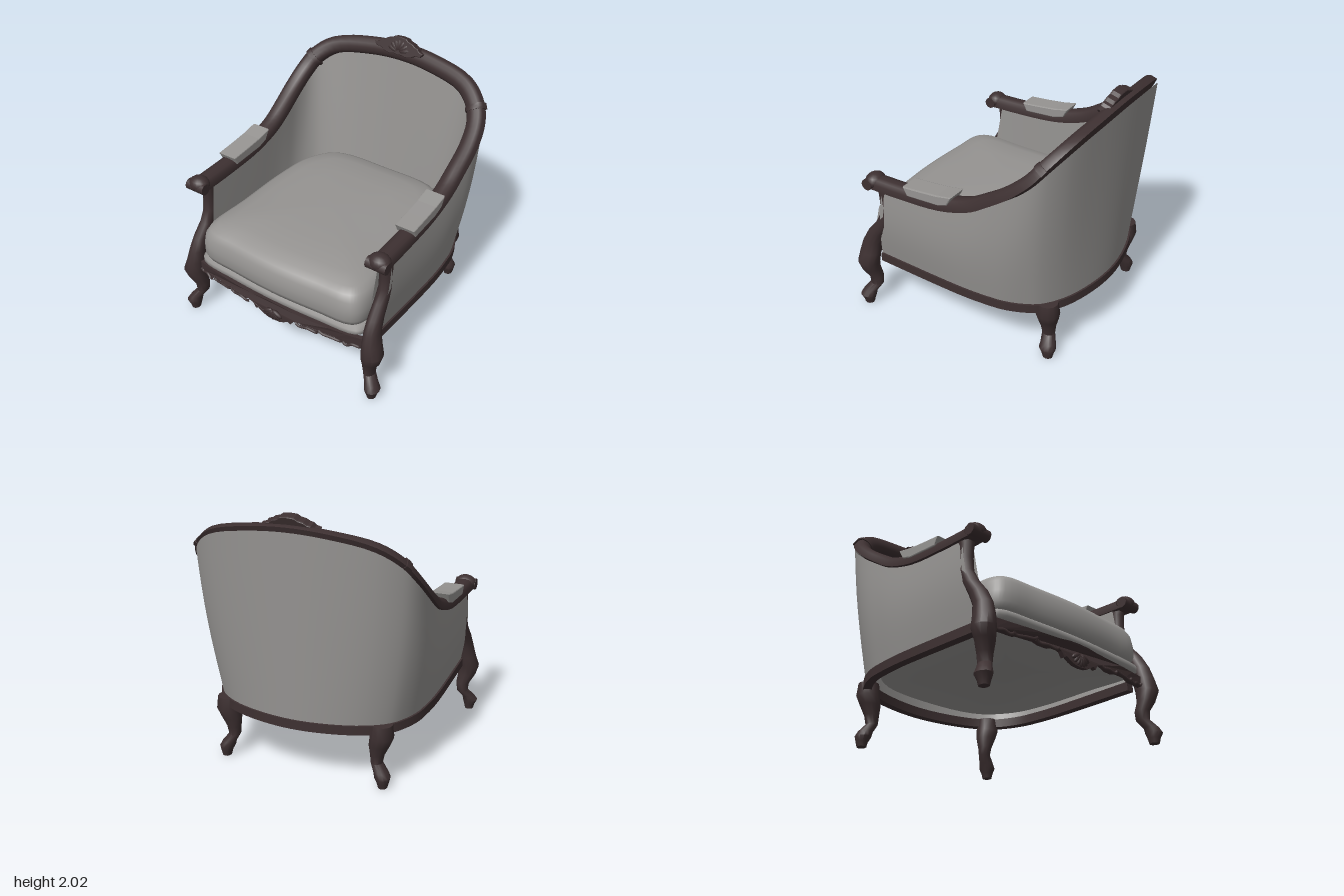
import * as THREE from 'three';
import { toCreasedNormals } from 'three/addons/utils/BufferGeometryUtils.js';

const V = (x, y, z) => new THREE.Vector3(x, y, z);
const N = 80;

// Skin a list of point rows; closed rows become capped solids facing outward
function loft(rows, closed = true, crease = 0.8) {
  const n = rows[0].length, pos = [], idx = [];
  rows.forEach(r => r.forEach(p => pos.push(p.x, p.y, p.z)));
  for (let i = 0; i < rows.length - 1; i++)
    for (let j = 0; j < (closed ? n : n - 1); j++) {
      const k = (j + 1) % n, a = i * n + j, b = i * n + k, c = a + n, d = b + n;
      idx.push(a, b, d, a, d, c);
    }
  if (closed) [0, rows.length - 1].forEach((r, e) => {
    const c = rows[r].reduce((s, p) => s.add(p), V(0, 0, 0)).divideScalar(n), ci = pos.length / 3;
    pos.push(c.x, c.y, c.z);
    for (let j = 0; j < n; j++) {
      const a = r * n + j, b = r * n + (j + 1) % n;
      e ? idx.push(ci, a, b) : idx.push(ci, b, a);
    }
  });
  if (closed) {
    const at = i => V(pos[3 * i], pos[3 * i + 1], pos[3 * i + 2]);
    let vol = 0;
    for (let i = 0; i < idx.length; i += 3) vol += at(idx[i]).dot(at(idx[i + 1]).cross(at(idx[i + 2])));
    if (vol < 0) idx.reverse();
  }
  const g = new THREE.BufferGeometry();
  g.setAttribute('position', new THREE.Float32BufferAttribute(pos, 3));
  g.setIndex(idx);
  if (closed) return toCreasedNormals(g, crease);
  g.computeVertexNormals();
  return g;
}

// Left half of a path, front to back centre, mirrored to the right side
function mirroredCurve(half) {
  const pts = half.map(p => V(...p));
  const other = half.slice(0, -1).reverse().map(p => V(-p[0], p[1], p[2]));
  return new THREE.CatmullRomCurve3([...pts, ...other]);
}

const railCurve = mirroredCurve([[.82, 1.175, .74], [.82, 1.18, .45], [.82, 1.205, .1], [.82, 1.275, -.15],
  [.82, 1.36, -.3], [.82, 1.48, -.48], [.795, 1.6, -.62], [.74, 1.7, -.7], [.6, 1.8, -.78], [.3, 1.86, -.83], [0, 1.88, -.845]]);
const baseCurve = mirroredCurve([[.81, .5, .74], [.82, .5, .45], [.83, .5, .1], [.83, .5, -.1],
  [.82, .5, -.25], [.8, .5, -.4], [.75, .5, -.54], [.68, .5, -.65], [.52, .5, -.76], [.27, .5, -.84], [0, .5, -.87]]);

// Point on the top rail offset by w (outward) and n (toward the sitter / up)
function railPoint(t, w, n) {
  const p = railCurve.getPoint(t), T = railCurve.getTangent(t);
  const up = Math.max(0, p.y - 1.2) / .7;
  const W = V(p.x / .82, up, -.3 * up);
  W.addScaledVector(T, -W.dot(T)).normalize();
  const F = W.clone().cross(T).normalize();
  return p.addScaledVector(W, w).addScaledVector(F, n);
}

const railProfile = [[-.07, -.045], [-.07, .005], [-.05, .035], [-.015, .045], [.02, .045], [.05, .035], [.068, .005], [.068, -.045]];
function railSweep(t0, t1, steps, scale = 1) {
  const rows = [];
  for (let i = 0; i <= steps; i++) {
    const t = t0 + (t1 - t0) * i / steps;
    rows.push(railProfile.map(([w, n]) => railPoint(t, w * scale, n * scale)));
  }
  return loft(rows);
}

// Leg made of horizontal oval rings [x, y, z, rx, rz]
function leg(rings, s) {
  return loft(rings.map(([x, y, z, rx, rz]) => Array.from({ length: 12 }, (_, i) => {
    const a = i * Math.PI / 6;
    return V(s * (x + rx * Math.cos(a)), y, z + rz * Math.sin(a));
  })));
}

// Symmetric outline from its left half, listed from top centre to bottom centre
function symmetricShape(half) {
  const other = half.filter(p => p[0] > 0).reverse().map(([x, y]) => [-x, y]);
  return new THREE.Shape([...half, ...other].map(p => new THREE.Vector2(...p)));
}

export function createModel() {
  const group = new THREE.Group();
  const wood = new THREE.MeshStandardMaterial({ color: 0x3d3031 });
  wood.name = 'dark wood';
  const fabric = new THREE.MeshStandardMaterial({ color: 0x969492, side: THREE.DoubleSide });
  fabric.name = 'grey fabric';
  const add = (name, geo, mat, x = 0, y = 0, z = 0) => {
    const m = new THREE.Mesh(geo, mat);
    m.name = name;
    m.position.set(x, y, z);
    group.add(m);
    return m;
  };

  // Continuous arm and back rail, with two collars
  add('topRail', railSweep(0, 1, N), wood);
  for (const t of [.342, .658]) add('railCollar', railSweep(t - .007, t + .007, 2, 1.15), wood);

  // Upholstered tub: outer and inner walls from base to rail
  const wall = inner => {
    const rows = [];
    for (let i = 0; i <= N; i++) {
      const t = i / N, b = baseCurve.getPoint(t);
      const top = inner ? railPoint(t, -.058, -.035) : railPoint(t, .045, t > .02 && t < .98 ? -.045 - .025 * Math.sin(t * Math.PI) ** 4 : -.03);
      top.z = Math.min(top.z, .64);
      if (inner) { b.x *= .915; b.y = .55; b.z += Math.max(0, -b.z) * .19; }
      rows.push(Array.from({ length: 9 }, (_, j) => {
        const p = b.clone().lerp(top, j / 8), bulge = Math.sin(j / 8 * Math.PI);
        p.x *= 1 + (inner ? 0 : .03) * bulge;
        return p;
      }));
    }
    return loft(rows, false);
  };
  add('outerUpholstery', wall(false), fabric);
  add('innerUpholstery', wall(true), fabric);

  // Curved base rail
  const baseRows = [];
  for (let i = 0; i <= N; i++) {
    const p = baseCurve.getPoint(i / N), T = baseCurve.getTangent(i / N), out = V(-T.z, 0, T.x);
    baseRows.push([[-.05, -.07], [.015, -.07], [.015, 0], [-.05, 0]].map(([w, h]) =>
      p.clone().addScaledVector(out, w).add(V(0, h, 0))));
  }
  add('baseRail', loft(baseRows), wood);

  // Seat deck and cushion, both stacked plan outlines
  const stack = (outline, rings) => {
    const pts = new THREE.CatmullRomCurve3([...outline, ...outline.slice(1, -1).reverse().map(([x, z]) => [-x, z])]
      .map(([x, z]) => V(x, 0, z)), true).getPoints(72).slice(0, -1);
    return loft(rings.map(([s, y]) => pts.map(p => V(p.x * s, y, .1 + (p.z - .1) * s))), true, 1.2);
  };
  add('seatDeck', stack([[0, .915], [.4, .9], [.72, .865], [.765, .8], [.76, .4], [.76, -.1], [.7, -.42], [.5, -.66], [0, -.74]],
    [[.98, .52], [1, .54], [1, .575], [.97, .595]]), fabric);
  add('seatCushion', stack([[0, .925], [.4, .905], [.68, .875], [.745, .79], [.735, .4], [.725, -.1], [.67, -.45], [.5, -.67], [0, -.71]],
    [[.93, .585], [.98, .605], [1, .65], [1, .73], [.985, .81], [.95, .86], [.89, .89], [.75, .917], [.5, .932], [.2, .938]]), fabric);

  const frontRings = [[.82, 1.16, .63, .05, .085], [.82, 1.1, .635, .05, .065], [.82, 1, .635, .05, .057], [.82, .9, .64, .05, .06],
    [.82, .8, .69, .05, .068], [.825, .7, .765, .055, .075], [.83, .6, .815, .06, .08], [.84, .5, .835, .07, .09],
    [.855, .41, .85, .085, .09], [.84, .33, .845, .075, .07], [.815, .25, .82, .055, .06], [.815, .18, .82, .045, .055],
    [.86, .12, .86, .05, .06], [.875, .08, .87, .06, .068], [.87, .04, .87, .045, .05], [.87, 0, .87, .035, .04]];
  const backRings = [[.63, .5, -.68, .08, .08], [.63, .4, -.68, .09, .095], [.61, .33, -.675, .08, .08], [.595, .25, -.67, .055, .06],
    [.59, .18, -.67, .045, .05], [.63, .12, -.69, .055, .06], [.645, .08, -.695, .06, .068], [.65, .04, -.7, .045, .05], [.65, 0, -.7, .035, .04]];
  // Arm pad side profile, drawn as (-z, y)
  const padShape = new THREE.Shape([[-.4, 1.255], [-.37, 1.2], [-.1, 1.215], [-.02, 1.24], [.02, 1.305], [-.1, 1.28], [-.25, 1.265]]
    .map(p => new THREE.Vector2(...p)));
  const padGeo = new THREE.ExtrudeGeometry(padShape, { depth: .14, bevelSize: .008, bevelThickness: .01, bevelSegments: 2 });
  padGeo.translate(0, 0, -.07).rotateY(Math.PI / 2);

  for (const s of [1, -1]) {
    add('frontLegAndPost', leg(frontRings, s), wood);
    add('backLeg', leg(backRings, s), wood);
    add('armPad', padGeo, fabric, s * .815, 0, 0);
    // Rounded scroll at the end of the arm
    add('armScroll', new THREE.SphereGeometry(1, 16, 10).scale(.085, .064, .075), wood, s * .82, 1.18, .73);
    add('scrollCurl', new THREE.CylinderGeometry(.045, .045, .165, 14).rotateZ(Math.PI / 2), wood, s * .82, 1.165, .755);
  }

  // Carved front apron, bowed forward in the middle
  const bow = x => .93 - .07 * (x / .78) ** 2;
  const apronGeo = new THREE.ExtrudeGeometry(symmetricShape([[0, .525], [.1, .522], [.2, .51], [.35, .507], [.5, .507], [.65, .507], [.78, .512],
    [.78, .43], [.7, .425], [.6, .42], [.55, .44], [.45, .435], [.38, .415], [.3, .415], [.24, .435], [.19, .42], [.165, .38],
    [.14, .395], [.1, .37], [.06, .355], [0, .35]]), { depth: .035, bevelEnabled: false });
  const ap = apronGeo.attributes.position;
  for (let i = 0; i < ap.count; i++) ap.setZ(i, ap.getZ(i) - .04 + bow(ap.getX(i)));
  apronGeo.computeVertexNormals();
  add('frontApron', apronGeo, wood);
  for (const s of [1, -1])
    for (const [x0, x1, y0, y1] of [[.22, .42, .43, .415], [.42, .62, .45, .42], [.62, .77, .43, .425]]) {
      const xm = (x0 + x1) / 2;
      const c = new THREE.CatmullRomCurve3([V(s * x0, y0, bow(x0)), V(s * (x0 + .03), y0 - .015, bow(x0)), V(s * xm, y1 + .01, bow(xm)),
        V(s * (x1 - .02), y1 + .005, bow(x1)), V(s * x1, y1 + .025, bow(x1))]);
      add('apronScroll', new THREE.TubeGeometry(c, 14, .011, 6), wood);
    }

  // Fan carving, shared by apron and crest
  const fan = (name, x, y, z, r, dir, spread, tilt) => {
    const f = new THREE.Group();
    f.name = name;
    for (let i = -3; i <= 3; i++) {
      const a = i * spread;
      const m = new THREE.Mesh(new THREE.SphereGeometry(1, 8, 6).scale(.02, r / 2, .018), wood);
      m.name = 'fanLobe';
      m.position.set(Math.sin(a) * r * .55, dir * Math.cos(a) * r * .55, 0);
      m.rotation.z = -dir * a;
      f.add(m);
    }
    f.position.set(x, y, z);
    f.rotation.x = tilt;
    group.add(f);
  };
  fan('apronFan', 0, .45, .925, .095, -1, .36, 0);

  // Carved crest on the back
  const crestGeo = new THREE.ExtrudeGeometry(symmetricShape([[0, .1], [.05, .096], [.075, .078], [.115, .068], [.14, .05], [.165, .045],
    [.18, .025], [.215, .015], [.2, -.005], [.15, -.01], [.12, -.03], [.07, -.04], [.04, -.03], [0, -.035]]),
  { depth: .05, bevelSize: .006, bevelThickness: .012, bevelSegments: 2 });
  add('crest', crestGeo, wood, 0, 1.9, -.845).rotation.x = -.3;
  fan('crestFan', 0, 1.9, -.79, .1, 1, .42, -.3);

  return group;
}
